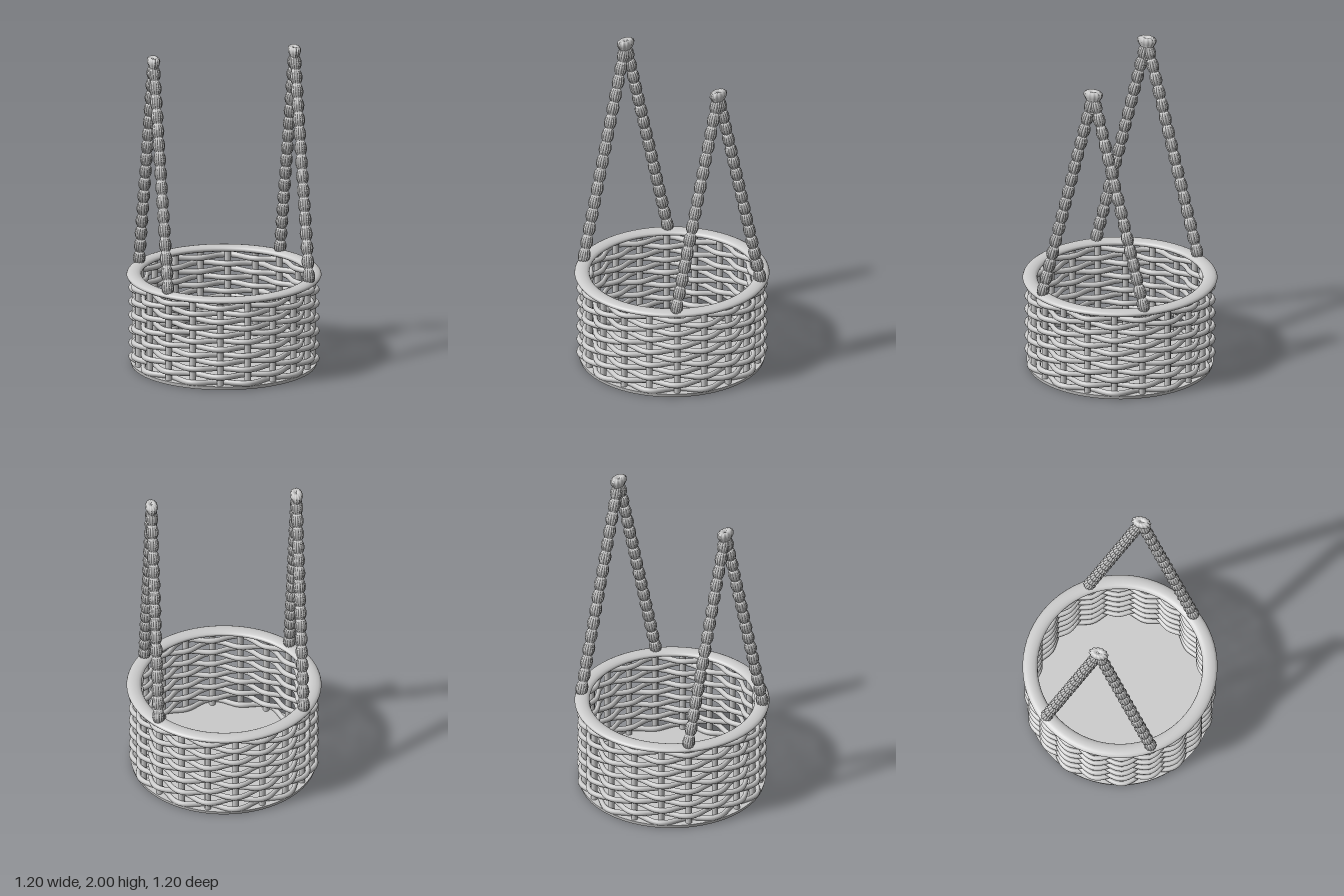
import * as THREE from 'three';
import { ParametricGeometry } from 'three/addons/geometries/ParametricGeometry.js';

const STAKES = 20, ROWS = 12, RADIUS = 0.545;
const FLUTES = 12, BEADS = 16;
const TAU = Math.PI * 2;

// Radius factor that grooves a round section into parallel fibres
const flute = (a) => 0.85 + 0.15 * Math.abs(Math.sin((a * FLUTES) / 2));

// Closed strand that passes alternately outside and inside the stakes
function strandGeometry(sign) {
  return new ParametricGeometry((u, v, p) => {
    const a = u * TAU, b = v * TAU;
    const r = RADIUS + sign * 0.027 * Math.cos((a * STAKES) / 2) + 0.016 * Math.cos(b);
    p.set(r * Math.sin(a), 0.018 * Math.sin(b), r * Math.cos(a));
  }, 160, 10);
}

// Fluted rope along +y, pinched at regular intervals into beads
function ropeGeometry(length) {
  return new ParametricGeometry((u, v, p) => {
    const a = -u * TAU;
    const r = (0.025 + 0.014 * Math.abs(Math.sin(v * BEADS * Math.PI)) ** 0.75) * flute(a);
    p.set(r * Math.cos(a), v * length, r * Math.sin(a));
  }, FLUTES * 4, BEADS * 6);
}

// Flared, frayed knot joining two ropes
function knotGeometry() {
  const profile = [[0.03, 1.85], [0.038, 1.89], [0.036, 1.935], [0.046, 1.955], [0.053, 1.972],
    [0.049, 1.99], [0.035, 2.0], [0.018, 1.996], [0, 1.985]];
  const geo = new THREE.LatheGeometry(profile.map(([x, y]) => new THREE.Vector2(x, y)), FLUTES * 4);
  const pos = geo.attributes.position;
  for (let i = 0; i < pos.count; i++) {
    const x = pos.getX(i), z = pos.getZ(i), f = flute(Math.atan2(z, x));
    pos.setX(i, x * f * 0.75);
    pos.setZ(i, z * f * 1.2);
  }
  geo.computeVertexNormals();
  return geo;
}

export function createModel() {
  const model = new THREE.Group();
  model.name = 'hangingBasket';
  const material = new THREE.MeshStandardMaterial({ color: 0xcccccc });
  const add = (parent, name, geometry) => {
    const mesh = new THREE.Mesh(geometry, material);
    mesh.name = name;
    parent.add(mesh);
    return mesh;
  };

  // Base disc
  add(model, 'base', new THREE.CylinderGeometry(0.575, 0.57, 0.022, 64)).position.y = 0.011;

  // Upright stakes
  const stakes = new THREE.Group();
  stakes.name = 'stakes';
  model.add(stakes);
  const stakeGeo = new THREE.CylinderGeometry(0.02, 0.02, 0.56, 10);
  for (let i = 0; i < STAKES; i++) {
    const a = (i / STAKES) * TAU;
    add(stakes, 'stake', stakeGeo).position.set(RADIUS * Math.sin(a), 0.29, RADIUS * Math.cos(a));
  }

  // Woven rows, neighbouring rows in opposite phase
  const weave = new THREE.Group();
  weave.name = 'weave';
  model.add(weave);
  const strands = [strandGeometry(1), strandGeometry(-1)];
  for (let i = 0; i < ROWS; i++) {
    add(weave, 'strand', strands[i % 2]).position.y = 0.037 + i * 0.0442;
  }

  // Flattened rim
  const rimGeo = new THREE.TorusGeometry(0.553, 0.046, 14, 72).rotateX(Math.PI / 2).scale(1, 0.46, 1);
  add(model, 'rim', rimGeo).position.y = 0.571;

  // Rope pairs meeting in a knot on each side
  const foot = new THREE.Vector3(0, 0.575, 0.34), top = new THREE.Vector3(0, 1.94, 0.008);
  const ropeGeo = ropeGeometry(foot.distanceTo(top));
  const knotGeo = knotGeometry();
  for (const side of [-1, 1]) {
    const handle = new THREE.Group();
    handle.name = side > 0 ? 'leftHandle' : 'rightHandle';
    handle.position.x = side * 0.449;
    model.add(handle);
    for (const end of [-1, 1]) {
      const rope = add(handle, end > 0 ? 'frontRope' : 'backRope', ropeGeo);
      rope.position.set(0, foot.y, end * foot.z);
      rope.rotation.x = -end * Math.atan2(foot.z - top.z, top.y - foot.y);
    }
    add(handle, 'knot', knotGeo);
  }
  return model;
}
